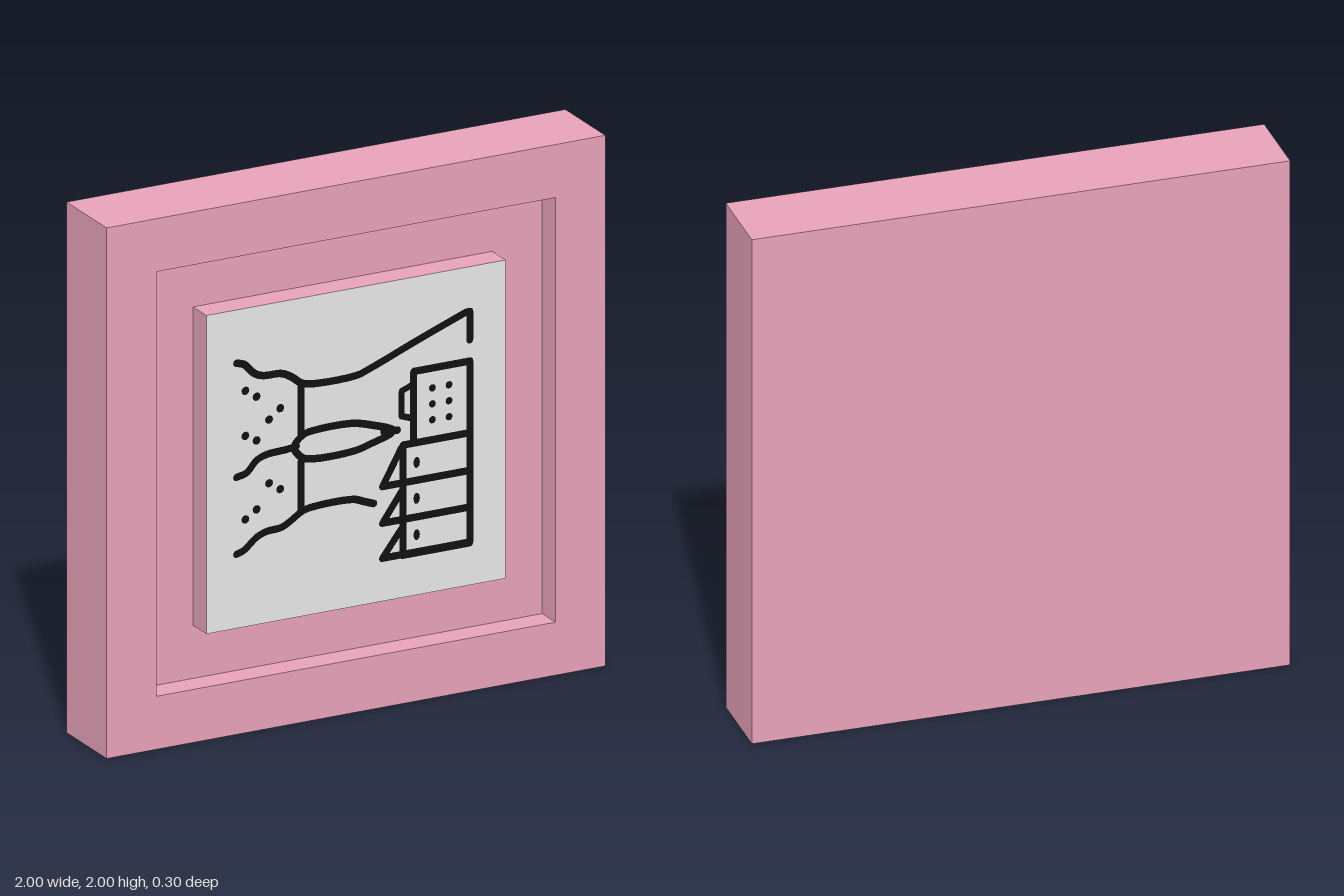
import * as THREE from 'three';
import { mergeGeometries } from 'three/addons/utils/BufferGeometryUtils.js';

const FRONT = 0.15, FLOOR = 0.05, INK_Z = 0.152;

// Flat ribbon with round joints along a list of points
function stroke(points, { smooth = false, closed = false, width = 0.028 } = {}) {
  let pts = points.map(([x, y]) => new THREE.Vector3(x, y, 0));
  if (smooth) pts = new THREE.CatmullRomCurve3(pts, closed, 'centripetal').getPoints(points.length * 4);
  else if (closed) pts.push(pts[0].clone());
  const parts = [];
  pts.forEach((p, i) => {
    parts.push(new THREE.CircleGeometry(width / 2, 12).translate(p.x, p.y, 0));
    const q = pts[i + 1];
    if (!q) return;
    parts.push(new THREE.PlaneGeometry(p.distanceTo(q), width)
      .rotateZ(Math.atan2(q.y - p.y, q.x - p.x))
      .translate((p.x + q.x) / 2, (p.y + q.y) / 2, 0));
  });
  return mergeGeometries(parts);
}

function dots(points, rx, ry = rx) {
  return mergeGeometries(points.map(([x, y]) =>
    new THREE.CircleGeometry(1, 10).scale(rx, ry, 1).translate(x, y, 0)));
}

export function createModel() {
  const pink = new THREE.MeshStandardMaterial({ name: 'pink', color: 0xffb3cc });
  const white = new THREE.MeshStandardMaterial({ name: 'white', color: 0xffffff });
  const black = new THREE.MeshStandardMaterial({ name: 'black', color: 0x111111 });

  const model = new THREE.Group();
  model.name = 'framedTile';
  const add = (name, geometry, material, parent = model) => {
    const mesh = new THREE.Mesh(geometry, material);
    mesh.name = name;
    parent.add(mesh);
    return mesh;
  };

  // Back slab, up to the floor of the recess
  add('backSlab', new THREE.BoxGeometry(2, 2, 0.2), pink).position.set(0, 1, -0.05);

  // Square rim around the recess
  const square = (S, h) => new S([[-h, -h], [h, -h], [h, h], [-h, h]].map(([x, y]) => new THREE.Vector2(x, y)));
  const rim = square(THREE.Shape, 1);
  rim.holes.push(square(THREE.Path, 0.8));
  add('rim', new THREE.ExtrudeGeometry(rim, { depth: FRONT - FLOOR, bevelEnabled: false }), pink)
    .position.set(0, 1, FLOOR);

  // Raised centre block with a white front face
  add('centreBlock', new THREE.BoxGeometry(1.2, 1.2, FRONT - FLOOR), [pink, pink, pink, pink, white, pink])
    .position.set(0, 1, (FRONT + FLOOR) / 2);

  // Line drawing on the block
  const art = new THREE.Group();
  art.name = 'lineDrawing';
  art.position.z = INK_Z;
  model.add(art);
  const line = (name, points, options) => add(name, stroke(points, options), black, art);

  // Long wavy outlines
  line('upperOutline', [[-.48, 1.4], [-.45, 1.39], [-.41, 1.35], [-.375, 1.335], [-.3, 1.33], [-.26, 1.31],
    [-.22, 1.28], [-.18, 1.27], [0, 1.27], [.05, 1.285], [.25, 1.362], [.44, 1.432]], { smooth: true });
  line('upperHook', [[.44, 1.432], [.455, 1.432], [.455, 1.325]]);
  line('lowerOutline', [[-.48, .68], [-.45, .69], [-.4, .73], [-.36, .745], [-.3, .75], [-.26, .77],
    [-.22, .795], [-.18, .805], [-.01, .805], [.03, .79], [.07, .775]], { smooth: true });
  line('middleOutline', [[-.48, .97], [-.44, .98], [-.4, 1.02], [-.36, 1.035], [-.28, 1.04], [-.24, 1.045]],
    { smooth: true });
  line('upperCuff', [[-.222, 1.28], [-.222, 1.08]]);
  line('lowerCuff', [[-.222, .985], [-.222, .8]]);

  // Pointed oval between the outlines
  line('oval', [[-.25, 1.045], [-.21, 1.085], [-.17, 1.093], [-.02, 1.093], [.06, 1.073], [.15, 1.035],
    [.06, 1.003], [-.01, .987], [-.18, .987], [-.22, 1.0]], { smooth: true, closed: true });
  line('ovalTip', [[.11, 1.04], [.165, 1.035]]);

  // Upper box with its side tab
  line('upperBox', [[.23, .975], [.455, .975], [.455, 1.245], [.23, 1.245]], { closed: true });
  line('sideTab', [[.23, 1.2], [.21, 1.19], [.182, 1.18], [.182, 1.085], [.21, 1.075], [.23, 1.07]],
    { width: 0.024 });

  // Stack of three lower boxes with slanted ends
  line('stackSides', [[.187, .975], [.187, .56], [.455, .56], [.455, .975]], { closed: true });
  [[.975, .833], [.81, .695], [.67, .563]].forEach(([top, base], i) => {
    line('stackShelf' + i, [[.105, base], [.455, base]]);
    line('slantedEnd' + i, [[.18, top - .01], [.105, base]]);
  });

  // Spots and small marks
  add('spots', dots([[-.445, 1.29], [-.4, 1.26], [-.35, 1.165], [-.305, 1.2], [-.445, 1.12], [-.4, 1.095],
    [-.445, .805], [-.4, .835], [-.35, .925], [-.305, .895]], 0.016), black, art);
  const grid = [];
  for (const x of [.305, .372]) for (const y of [1.17, 1.11, 1.05]) grid.push([x, y]);
  add('boxDots', dots(grid, 0.014), black, art);
  add('stackMarks', dots([[.242, .9], [.242, .765], [.242, .628]], 0.013, 0.021), black, art);

  return model;
}
